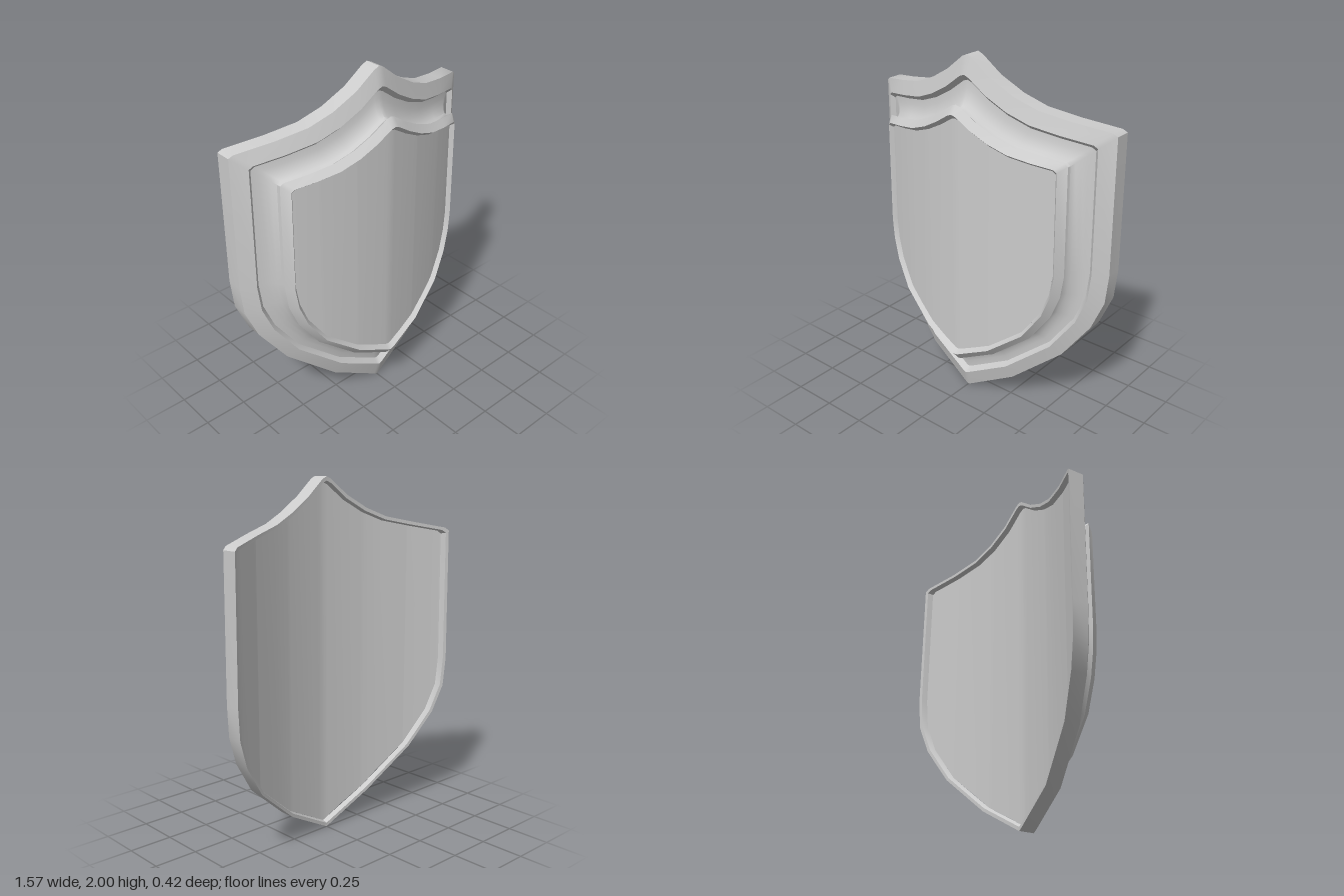
import * as THREE from 'three';
import { toCreasedNormals } from 'three/addons/utils/BufferGeometryUtils.js';

// Right half of the outer edge and of the raised frame's crest, bottom tip to top tip
const OUTER = [[0, 0], [0.02, 0.01], [0.295, 0.16], [0.57, 0.39], [0.71, 0.59], [0.77, 0.75], [0.783, 0.92],
  [0.777, 1.68], [0.755, 1.697], [0.57, 1.735], [0.4, 1.772], [0.27, 1.825], [0.14, 1.9], [0.03, 1.987], [0, 2]];
const CREST = [[0, 0.275], [0.02, 0.28], [0.22, 0.375], [0.42, 0.53], [0.52, 0.68], [0.562, 0.8], [0.578, 0.92],
  [0.572, 1.505], [0.555, 1.52], [0.44, 1.538], [0.32, 1.56], [0.21, 1.6], [0.11, 1.652], [0.025, 1.706], [0, 1.713]];
const SIDE = 6; // index of the widest point

const bend = (x) => -0.05 * Math.abs(x) - 0.28 * x * x;

// Half outline at inset t (0 = outer edge, 1 = crest)
const halfOutline = (t) => OUTER.map(([x, y], i) => [x + (CREST[i][0] - x) * t, y + (CREST[i][1] - y) * t]);

// Closed ring at inset t and depth d in front of the bent back
function ring([t, d]) {
  const half = halfOutline(t);
  const mirrored = half.slice(1, -1).reverse().map(([x, y]) => [-x, y]);
  return [...half, ...mirrored].map(([x, y]) => [x, y, bend(x) + d]);
}

function makeMesh(name, points, index, crease) {
  let geo = new THREE.BufferGeometry();
  geo.setAttribute('position', new THREE.Float32BufferAttribute(points.flat(), 3));
  geo.setIndex(index);
  geo.computeVertexNormals();
  if (crease) geo = toCreasedNormals(geo, crease);
  const mesh = new THREE.Mesh(geo, new THREE.MeshStandardMaterial({ color: 0xcccccc }));
  mesh.name = name;
  return mesh;
}

// Band lofted through successive rings of [inset, depth]
function band(name, profile) {
  const rings = profile.map(ring);
  const n = rings[0].length;
  const index = [];
  for (let r = 0; r < rings.length - 1; r++) {
    for (let i = 0; i < n; i++) {
      const a = r * n + i, b = r * n + (i + 1) % n;
      index.push(a, b, b + n, a, b + n, a + n);
    }
  }
  return makeMesh(name, rings.flat(), index, 0.62);
}

// Height of a polyline (increasing x) at x
function heightAt(line, x) {
  for (let i = 1; i < line.length; i++) {
    const [x0, y0] = line[i - 1], [x1, y1] = line[i];
    if (x <= x1 + 1e-9) return y0 + (y1 - y0) * (x - x0) / (x1 - x0);
  }
  return line[line.length - 1][1];
}

// Bent sheet filling a ring, made of vertical columns
function panel(name, t, d, facesBack) {
  const half = halfOutline(t);
  const lower = half.slice(0, SIDE + 1), upper = half.slice(SIDE).reverse();
  const xs = [...new Set(half.map((p) => p[0]))].sort((a, b) => a - b);
  const all = [...xs.slice(1).reverse().map((x) => -x), ...xs];
  const points = [], index = [];
  all.forEach((x, i) => {
    const ax = Math.abs(x), z = bend(x) + d;
    points.push([x, heightAt(lower, ax), z], [x, heightAt(upper, ax), z]);
    if (i === 0) return;
    const a = 2 * i - 2, b = a + 1, c = a + 2, e = a + 3;
    if (facesBack) index.push(a, e, c, a, b, e);
    else index.push(a, c, e, a, e, b);
  });
  return makeMesh(name, points, index);
}

export function createModel() {
  const group = new THREE.Group();
  group.name = 'shield';

  // Outer rim, from the recessed back round to the groove
  const back = [0.11, 0.03], lip = [0.08, 0], edgeBack = [0, 0], edgeFront = [0, 0.09];
  const rimInner = [0.35, 0.115], groove = [0.46, 0.085];
  group.add(band('backRecessWall', [back, lip]));
  group.add(band('backRim', [lip, edgeBack]));
  group.add(band('outerEdge', [edgeBack, edgeFront]));
  group.add(band('rimFace', [edgeFront, rimInner]));
  group.add(band('rimInnerBevel', [rimInner, groove]));

  // Concave cove rising to the neck under the frame
  const neck = [0.93, 0.15], cove = [];
  for (let i = 0; i <= 5; i++) {
    const a = (i / 5) * Math.PI / 2;
    cove.push([
      groove[0] + (neck[0] - groove[0]) * Math.sin(a),
      groove[1] + (neck[1] - groove[1]) * (1 - Math.cos(a)),
    ]);
  }
  group.add(band('cove', cove));

  // Raised inner frame
  const tip = [0.84, 0.178], crest = [1, 0.213], inner = [1.09, 0.185];
  group.add(band('frameUnderside', [neck, tip]));
  group.add(band('frameOuterBevel', [tip, crest]));
  group.add(band('frameInnerBevel', [crest, inner]));

  // Front and back faces
  group.add(panel('frontPanel', inner[0], inner[1], false));
  group.add(panel('backPanel', back[0], back[1], true));
  return group;
}
